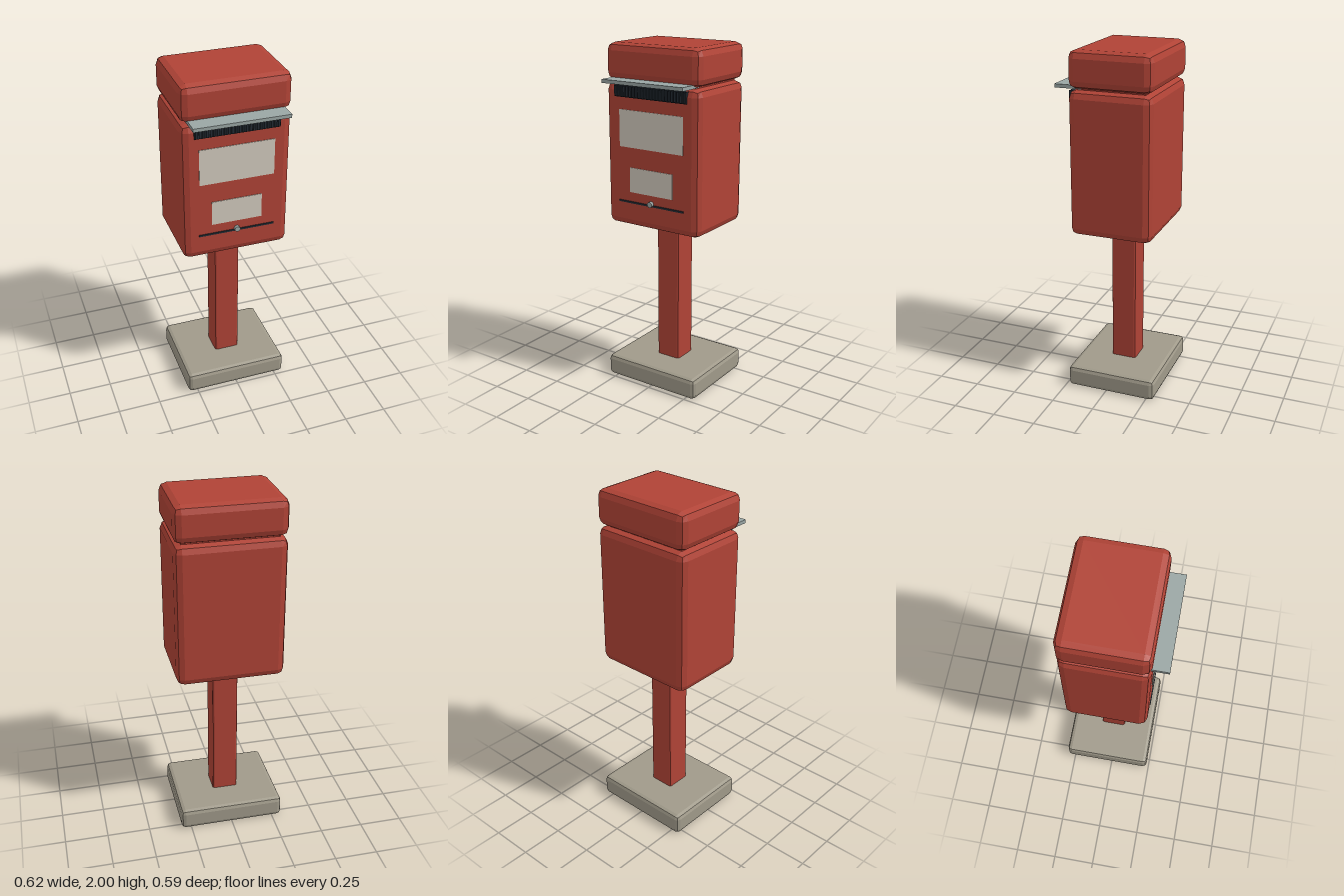
import * as THREE from 'three';
import { RoundedBoxGeometry } from 'three/addons/geometries/RoundedBoxGeometry.js';

const material = (name, color, flatShading = true) => {
  const m = new THREE.MeshStandardMaterial({ color, flatShading });
  m.name = name;
  return m;
};

export function createModel() {
  const red = material('red paint', 0xb04336);
  const stone = material('stone', 0xa09a8a);
  const steel = material('steel', 0x9aa6a4);
  const dark = material('dark rubber', 0x232b33);
  const paper = material('paper', 0xd2cabd);

  const model = new THREE.Group();
  model.name = 'postBox';

  const add = (name, geometry, mat, x, y, z) => {
    const mesh = new THREE.Mesh(geometry, mat);
    mesh.name = name;
    mesh.position.set(x, y, z);
    model.add(mesh);
    return mesh;
  };
  // Box between two heights and two depths, centred on x; a bevel rounds its edges in two steps
  const block = (name, mat, w, y0, y1, z0, z1, bevel = 0) => {
    const size = [w, y1 - y0, z1 - z0];
    const geometry = bevel
      ? new RoundedBoxGeometry(...size, 1, bevel)
      : new THREE.BoxGeometry(...size);
    return add(name, geometry, mat, 0, (y0 + y1) / 2, (z0 + z1) / 2);
  };

  // Foot, post, case and lid
  block('base', stone, 0.616, 0, 0.125, -0.297, 0.235, 0.025);
  block('post', red, 0.15, 0.1, 1.0, -0.104, 0.046, 0.012);
  block('case', red, 0.616, 0.967, 1.787, -0.268, 0.208, 0.043);
  block('neck', red, 0.53, 1.77, 1.81, -0.225, 0.165);
  block('lid', red, 0.616, 1.794, 2.0, -0.27, 0.208, 0.043);

  // Rain flap over the letter slot
  block('rainFlap', steel, 0.532, 1.79, 1.81, 0.14, 0.294);

  // Letter slot with a fringe of bristles
  block('letterSlot', dark, 0.474, 1.71, 1.775, 0.195, 0.218);
  const bristles = 24;
  for (let i = 0; i < bristles; i++) {
    const x = ((i + 0.5) / bristles - 0.5) * 0.474;
    add('bristle', new THREE.BoxGeometry(0.012, 0.058, 0.008), dark, x, 1.743, 0.221);
  }

  // Notices on the front
  block('upperNotice', paper, 0.424, 1.43, 1.64, 0.204, 0.211);
  block('lowerNotice', paper, 0.288, 1.173, 1.316, 0.204, 0.211);

  // Door seam and lock
  block('doorSeam', dark, 0.436, 1.109, 1.119, 0.204, 0.214);
  const lock = new THREE.CylinderGeometry(0.016, 0.016, 0.024, 12).rotateX(Math.PI / 2);
  add('lock', lock, steel, 0, 1.124, 0.214);

  return model;
}
